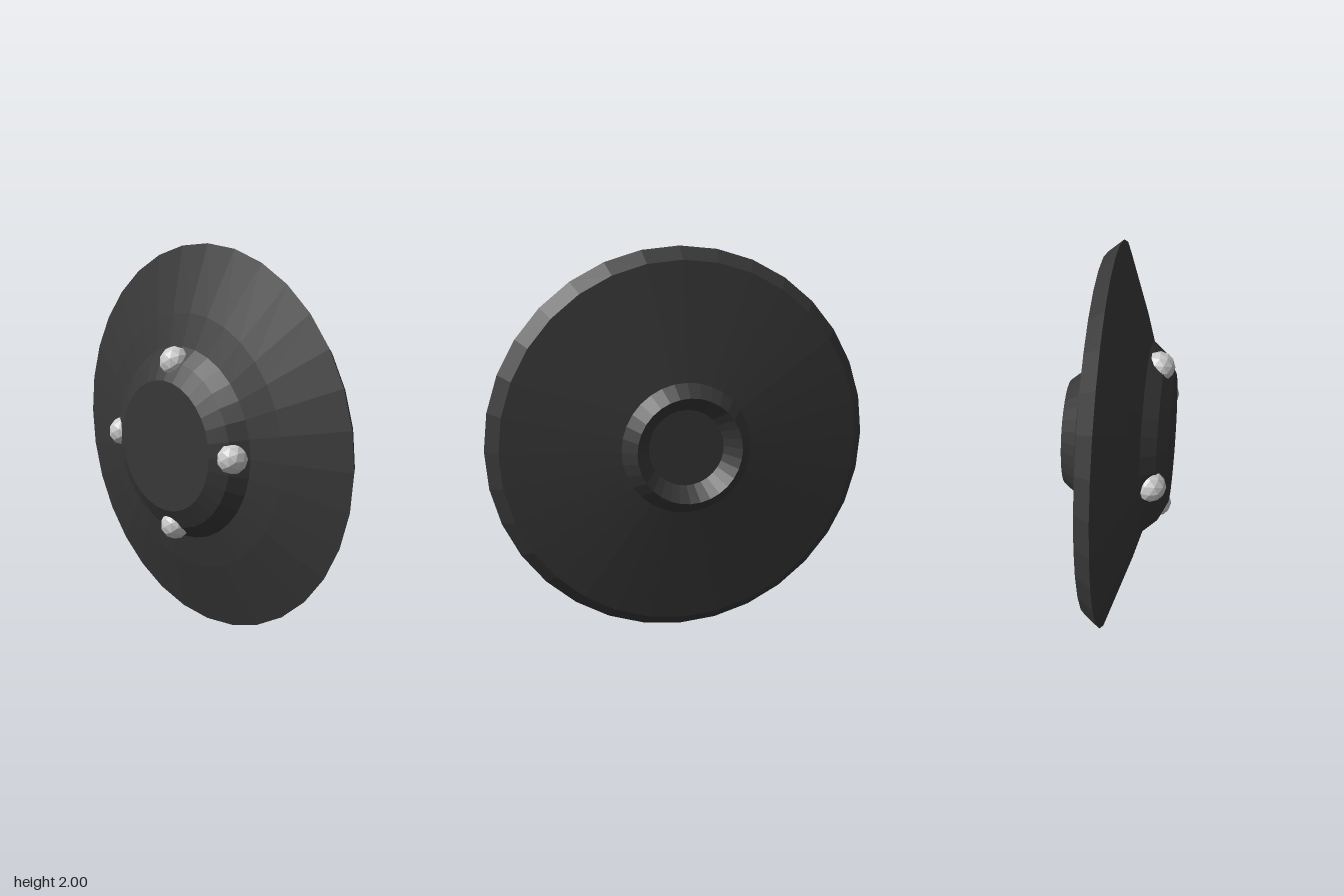
import * as THREE from 'three';

export function createModel() {
  const model = new THREE.Group();
  const hullMaterial = new THREE.MeshStandardMaterial({ color: 0x383838, flatShading: true });
  const lampMaterial = new THREE.MeshStandardMaterial({ color: 0xcccccc, flatShading: true });

  // Everything is centred on the disc's axis, one unit above the ground
  const saucer = new THREE.Group();
  saucer.name = 'saucer';
  saucer.position.y = 1;
  model.add(saucer);

  // Hull profile as [radius, z], from the recessed back hub to the front plate
  const profile = [
    [0, -0.18], [0.195, -0.18], [0.27, -0.27], [0.335, -0.19],
    [0.935, -0.105], [1, -0.025], [0.66, 0.095], [0.495, 0.145],
    [0.43, 0.22], [0.335, 0.27], [0, 0.27],
  ].map(([r, z]) => new THREE.Vector2(r, z));
  const hullGeometry = new THREE.LatheGeometry(profile, 32);
  hullGeometry.rotateX(Math.PI / 2);
  const hull = new THREE.Mesh(hullGeometry, hullMaterial);
  hull.name = 'hull';
  saucer.add(hull);

  // Four faceted lamps set into the front bevel
  const lampGeometry = new THREE.IcosahedronGeometry(0.077, 1);
  for (let i = 0; i < 4; i++) {
    const angle = (i * Math.PI) / 2;
    const lamp = new THREE.Mesh(lampGeometry, lampMaterial);
    lamp.name = 'lamp' + (i + 1);
    lamp.position.set(0.425 * Math.cos(angle), 0.425 * Math.sin(angle), 0.198);
    saucer.add(lamp);
  }

  return model;
}
